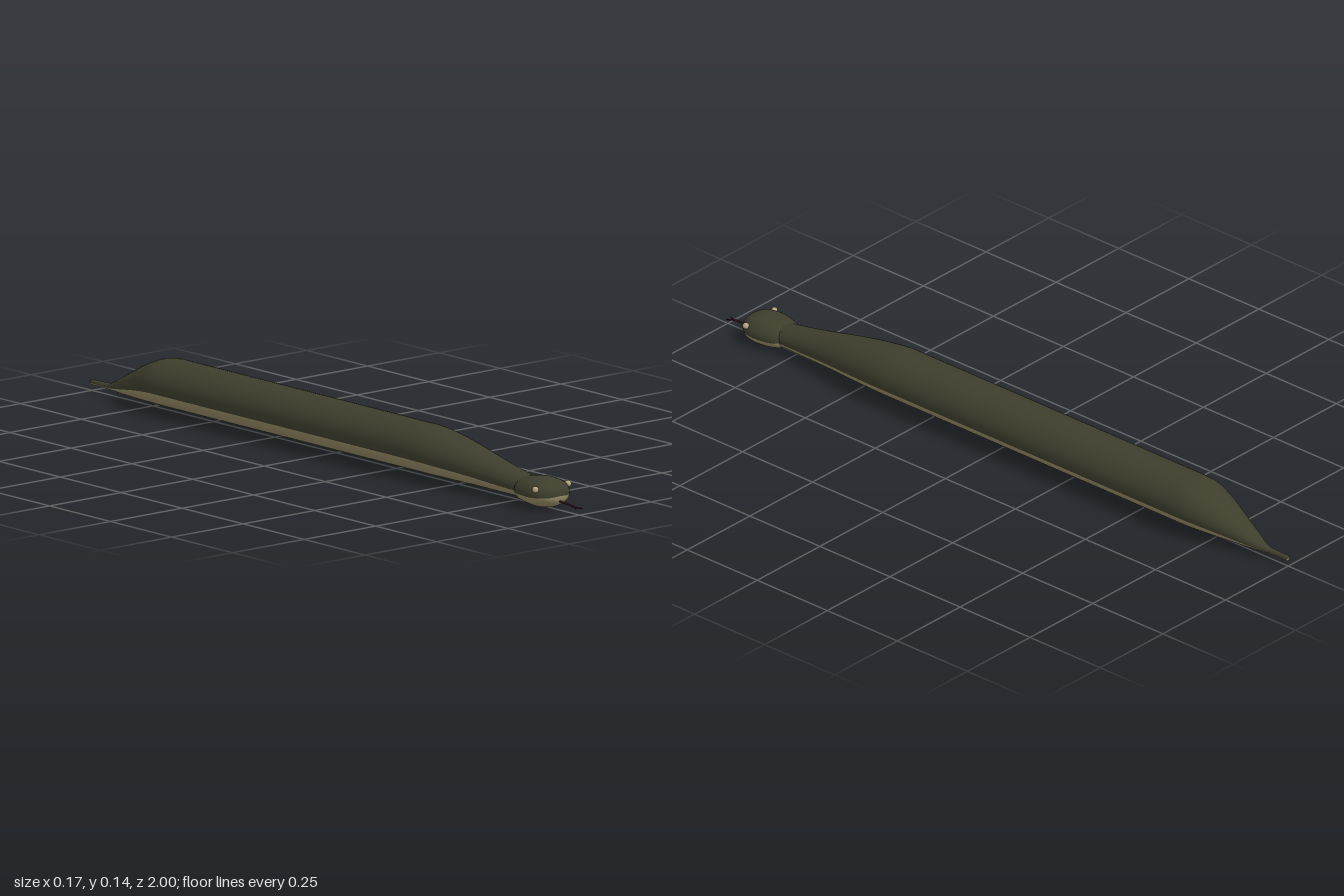
import * as THREE from 'three';

const mat = (name, color) => Object.assign(new THREE.MeshStandardMaterial({ color }), { name });

// Smooth loft through [z, top, bottom, halfWidth] keys, split into back and belly at a height fraction.
function loft(keys, split, steps) {
  const half = 24, n = half * 2;
  const a0 = Math.asin(2 * split - 1);
  const spline = (k) => new THREE.CatmullRomCurve3(
    keys.map((s) => new THREE.Vector3(s[0], s[k], s[3])), false, 'catmullrom', 0.4);
  const tops = spline(1), bottoms = spline(2);
  const pos = [], back = [], belly = [];
  const ring = (z, top, bottom, w, scale) => {
    const cy = (top + bottom) / 2, ry = (top - bottom) / 2;
    for (let j = 0; j < n; j++) {
      const a = j < half
        ? a0 + (Math.PI - 2 * a0) * j / half
        : Math.PI - a0 + (Math.PI + 2 * a0) * (j - half) / half;
      pos.push(Math.cos(a) * w * scale, cy + Math.sin(a) * ry * scale, z);
    }
  };
  for (let i = -1; i <= steps + 1; i++) {
    const t = THREE.MathUtils.clamp(i / steps, 0, 1);
    const u = tops.getPoint(t), b = bottoms.getPoint(t);
    ring(u.x, u.y, b.y, Math.max(u.z, 0.001), i < 0 || i > steps ? 0.001 : 1);
  }
  for (let i = 0; i < steps + 2; i++) {
    for (let j = 0; j < n; j++) {
      const p = i * n + j, p1 = i * n + (j + 1) % n;
      (j < half ? back : belly).push(p, p1, p + n, p1, p1 + n, p + n);
    }
  }
  const g = new THREE.BufferGeometry();
  g.setAttribute('position', new THREE.Float32BufferAttribute(pos, 3));
  g.setIndex([...back, ...belly]);
  g.addGroup(0, back.length, 0);
  g.addGroup(back.length, belly.length, 1);
  g.computeVertexNormals();
  return g;
}

export function createModel() {
  const model = new THREE.Group();
  model.name = 'snake';
  const backMat = mat('dark olive back', 0x3e3e2d);
  const bellyMat = mat('tan belly', 0x958a66);
  const eyeMat = mat('pale eye', 0xb5a67e);
  const tongueMat = mat('dark red tongue', 0x3c1024);

  const add = (name, geometry, material, parent = model) => {
    const m = new THREE.Mesh(geometry, material);
    m.name = name;
    parent.add(m);
    return m;
  };

  // Body from tail tip to neck
  add('body', loft([
    [-1.0, 0.033, 0.018, 0.008],
    [-0.96, 0.033, 0.018, 0.009],
    [-0.92, 0.036, 0.017, 0.013],
    [-0.87, 0.060, 0.016, 0.030],
    [-0.80, 0.097, 0.015, 0.052],
    [-0.75, 0.122, 0.015, 0.068],
    [-0.70, 0.140, 0.015, 0.080],
    [-0.66, 0.145, 0.015, 0.083],
    [-0.55, 0.145, 0.015, 0.083],
    [0.28, 0.145, 0.015, 0.083],
    [0.40, 0.144, 0.015, 0.083],
    [0.50, 0.131, 0.015, 0.074],
    [0.60, 0.112, 0.015, 0.060],
    [0.70, 0.091, 0.014, 0.048],
    [0.78, 0.077, 0.014, 0.041],
    [0.85, 0.070, 0.016, 0.038],
  ], 0.36, 120), [backMat, bellyMat]);

  // Broad rounded head
  const head = new THREE.Group();
  head.name = 'head';
  model.add(head);
  add('skull', loft([
    [0.775, 0.066, 0.020, 0.036],
    [0.79, 0.074, 0.011, 0.050],
    [0.81, 0.079, 0.006, 0.058],
    [0.84, 0.083, 0.003, 0.063],
    [0.865, 0.083, 0.002, 0.063],
    [0.89, 0.079, 0.006, 0.057],
    [0.91, 0.068, 0.015, 0.041],
    [0.919, 0.057, 0.026, 0.024],
    [0.922, 0.044, 0.038, 0.005],
  ], 0.42, 48), [backMat, bellyMat], head);

  for (const side of [1, -1]) {
    const eye = add(side > 0 ? 'leftEye' : 'rightEye', new THREE.SphereGeometry(0.009, 20, 14), eyeMat, head);
    eye.position.set(side * 0.057, 0.06, 0.885);
  }

  // Forked tongue
  const strand = (name, points, r) => add(name, new THREE.TubeGeometry(
    new THREE.CatmullRomCurve3(points.map((p) => new THREE.Vector3(...p))), 10, r, 8), tongueMat, head);
  strand('tongue', [[0, 0.027, 0.9], [0, 0.024, 0.94], [0, 0.02, 0.98]], 0.0028);
  for (const side of [1, -1]) {
    strand(side > 0 ? 'leftFork' : 'rightFork',
      [[0, 0.02, 0.978], [side * 0.004, 0.019, 0.987], [side * 0.01, 0.018, 0.998]], 0.0017);
  }
  return model;
}
